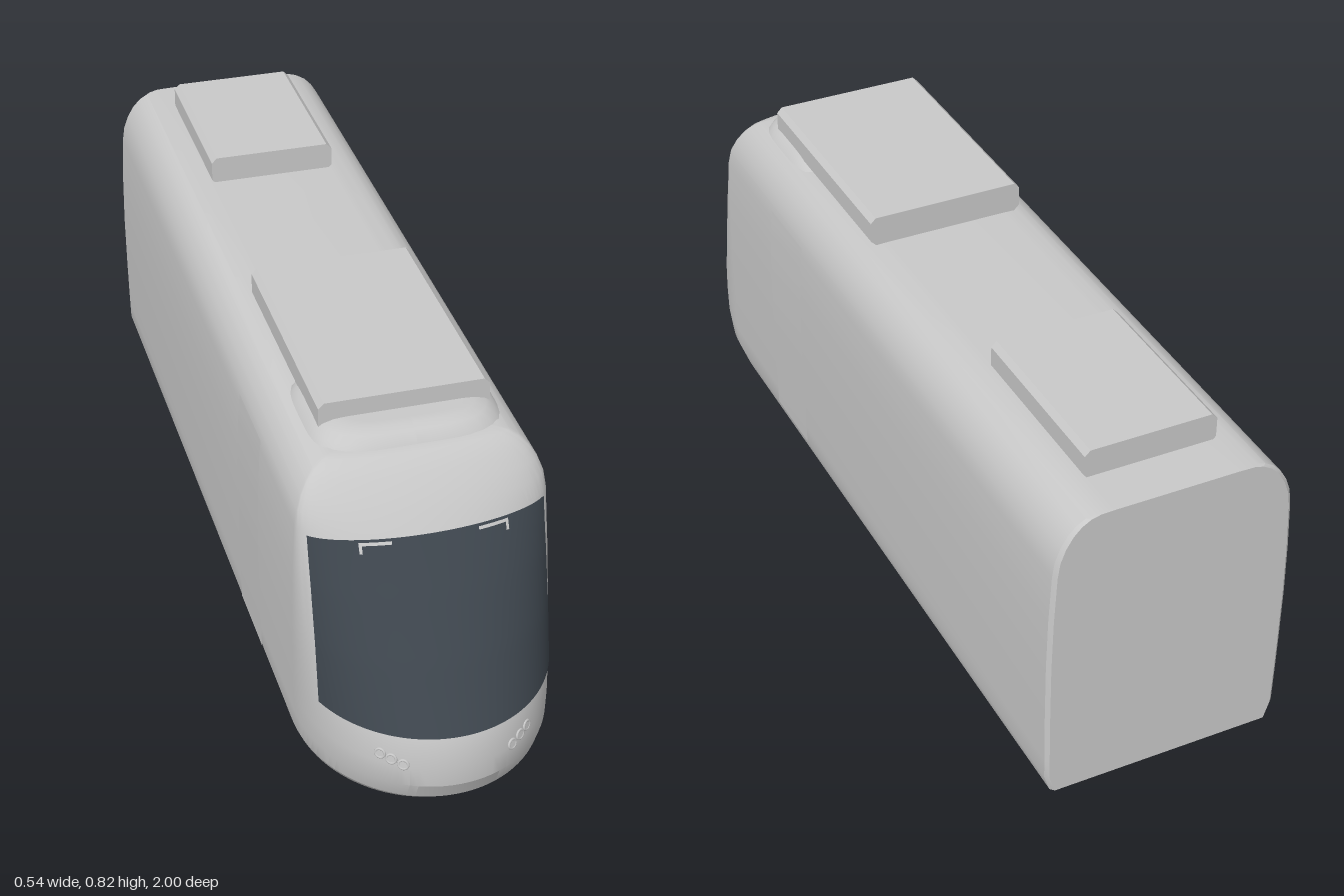
import * as THREE from 'three';
import { toCreasedNormals } from 'three/addons/utils/BufferGeometryUtils.js';

// Body levels: height, half width, nose tip z, z where the nose starts to curve
const LEVELS = [
  [0.065, 0.253, 0.935, 0.64], [0.105, 0.266, 0.978, 0.67], [0.15, 0.267, 0.998, 0.69],
  [0.2, 0.268, 1.0, 0.69], [0.27, 0.269, 0.984, 0.69], [0.4, 0.27, 0.915, 0.69],
  [0.52, 0.268, 0.845, 0.69], [0.63, 0.263, 0.778, 0.69], [0.665, 0.258, 0.755, 0.685],
  [0.695, 0.247, 0.732, 0.675], [0.72, 0.232, 0.71, 0.665], [0.738, 0.215, 0.692, 0.655],
  [0.75, 0.195, 0.675, 0.645], [0.755, 0.175, 0.658, 0.635], [0.756, 0.14, 0.63, 0.61],
];

function levelAt(y) {
  let i = 0;
  while (i < LEVELS.length - 2 && LEVELS[i + 1][0] < y) i++;
  const a = LEVELS[i], b = LEVELS[i + 1], t = (y - a[0]) / (b[0] - a[0]);
  return a.map((v, k) => v + (b[k] - v) * t);
}

function frontZ(x, y) {
  const [, w, tip, start] = levelAt(y);
  return start + (tip - start) * Math.sqrt(Math.max(0, 1 - (x / w) ** 2));
}

// Closed hull lofted through horizontal outlines
function hullGeometry() {
  const pos = [], index = [], seg = 48;
  for (const [y, w, tip, start] of LEVELS) {
    pos.push(w - 0.008, y, -1, w, y, -0.992);
    for (let i = 0; i <= seg; i++) {
      const a = (i / seg) * Math.PI;
      pos.push(w * Math.cos(a), y, start + (tip - start) * Math.sin(a));
    }
    pos.push(-w, y, -0.992, -w + 0.008, y, -1);
  }
  const n = seg + 5, last = (LEVELS.length - 1) * n, centre = pos.length / 3;
  pos.push(0, LEVELS[0][0], 0, 0, LEVELS[LEVELS.length - 1][0], 0);
  for (let j = 0; j < n; j++) {
    const k = (j + 1) % n;
    for (let r = 0; r < last; r += n) {
      index.push(r + j, r + n + j, r + n + k, r + j, r + n + k, r + k);
    }
    index.push(centre, j, k, centre + 1, last + k, last + j);
  }
  const g = new THREE.BufferGeometry();
  g.setAttribute('position', new THREE.Float32BufferAttribute(pos, 3));
  g.setIndex(index);
  return toCreasedNormals(g, 0.36);
}

// Thin sheet whose points are placed by a rule
function sheet(nx, ny, rule) {
  const g = new THREE.PlaneGeometry(1, 1, nx, ny), p = g.attributes.position;
  for (let i = 0; i < p.count; i++) p.setXYZ(i, ...rule(p.getX(i) + 0.5, p.getY(i) + 0.5));
  g.computeVertexNormals();
  return g;
}

const frontSheet = (x0, x1, y0, y1, lift, nx = 8, ny = 1) => sheet(nx, ny, (u, v) => {
  const x = x0 + (x1 - x0) * u, y = y0 + (y1 - y0) * v;
  return [x, y, frontZ(x, y) + lift];
});

// Roof box with chamfered long edges
function roofBoxGeometry(w, y0, y1, z0, z1) {
  const c = 0.012;
  const s = new THREE.Shape([
    [-w + c, y0], [w - c, y0], [w, y0 + c], [w, y1 - c],
    [w - c, y1], [-w + c, y1], [-w, y1 - c], [-w, y0 + c],
  ].map(([x, y]) => new THREE.Vector2(x, y)));
  const g = new THREE.ExtrudeGeometry(s, { depth: z1 - z0, bevelEnabled: false });
  return g.translate(0, 0, z0);
}

// Low dome with a squarish outline
function fairingGeometry() {
  const profile = [[1, 0], [0.95, 0.4], [0.87, 0.75], [0.76, 0.95], [0.65, 1], [0, 1]];
  const g = new THREE.LatheGeometry(profile.map(([x, y]) => new THREE.Vector2(x, y)), 48);
  const p = g.attributes.position;
  for (let i = 0; i < p.count; i++) {
    const x = p.getX(i), z = p.getZ(i), a = Math.atan2(x, z);
    const k = 1 / Math.pow(Math.sin(a) ** 4 + Math.cos(a) ** 4, 0.25);
    p.setXYZ(i, x * k * 0.2, 0.752 + p.getY(i) * 0.033, 0.5 + z * k * 0.16);
  }
  g.computeVertexNormals();
  return g;
}

export function createModel() {
  const model = new THREE.Group();
  model.name = 'tram';
  const grey = new THREE.MeshStandardMaterial({ color: 0xc8c8c8, side: THREE.DoubleSide });
  grey.name = 'bodyGrey';
  const dark = new THREE.MeshStandardMaterial({ color: 0x3e464e, side: THREE.DoubleSide });
  dark.name = 'darkGlass';
  const add = (name, geometry, material = grey, parent = model) => {
    const m = new THREE.Mesh(geometry, material);
    m.name = name;
    parent.add(m);
    return m;
  };

  add('body', hullGeometry());
  add('windscreen', frontSheet(-0.247, 0.247, 0.27, 0.628, 0.006, 64, 24), dark);

  // Roof equipment
  add('frontRoofBox', roofBoxGeometry(0.18, 0.755, 0.824, 0.03, 0.57));
  add('rearRoofBox', roofBoxGeometry(0.145, 0.75, 0.818, -0.89, -0.49));
  add('roofFairing', fairingGeometry());

  for (const s of [-1, 1]) {
    const side = s < 0 ? 'right' : 'left';
    const span = (a, b) => (s < 0 ? [-b, -a] : [a, b]);

    // Wiper brackets at the top of the windscreen
    add(side + 'WiperBar', frontSheet(...span(0.09, 0.155), 0.619, 0.625, 0.01));
    add(side + 'WiperArm', frontSheet(...span(0.149, 0.155), 0.604, 0.62, 0.01));

    // Door panel following the wall
    add(side + 'Door', sheet(1, 16, (u, v) => {
      const y = 0.105 + 0.545 * v;
      return [s * (levelAt(y)[1] + 0.0015), y, 0.33 - s * (u - 0.5) * 0.18];
    }));

    // Headlight clusters
    for (const [x, y] of [[0.115, 0.205], [0.136, 0.213], [0.155, 0.22]]) {
      const e = 0.002, z = frontZ(x, y);
      const normal = new THREE.Vector3(
        -s * (frontZ(x + e, y) - z) / e, -(frontZ(x, y + e) - z) / e, 1).normalize();
      const lamp = new THREE.Group();
      lamp.name = side + 'Headlight';
      lamp.position.set(s * x, y, z);
      lamp.quaternion.setFromUnitVectors(new THREE.Vector3(0, 0, 1), normal);
      add('lampRing', new THREE.TorusGeometry(0.01, 0.003, 8, 20), grey, lamp);
      add('lampLens', new THREE.CircleGeometry(0.01, 20).translate(0, 0, 0.002), grey, lamp);
      model.add(lamp);
    }

    // Flanged wheels
    for (const z of [0.01, -0.39]) {
      const profile = [[0, 0], [0.06, 0], [0.066, 0.004], [0.066, 0.008], [0.059, 0.013],
        [0.057, 0.03], [0.048, 0.03], [0.042, 0.022], [0, 0.022]];
      const g = new THREE.LatheGeometry(profile.map(([r, h]) => new THREE.Vector2(r, h)), 32);
      const wheel = add(side + 'Wheel', toCreasedNormals(g, 0.5));
      wheel.rotation.z = -s * Math.PI / 2;
      wheel.position.set(s * 0.154, 0.066, z);
    }
  }

  // Axles and bogie plate
  for (const z of [0.01, -0.39]) {
    const axle = add('axle', new THREE.CylinderGeometry(0.008, 0.008, 0.32, 16));
    axle.rotation.z = Math.PI / 2;
    axle.position.set(0, 0.067, z);
  }
  add('bogiePlate', new THREE.BoxGeometry(0.28, 0.006, 0.4)).position.set(0, 0.066, -0.19);

  return model;
}
